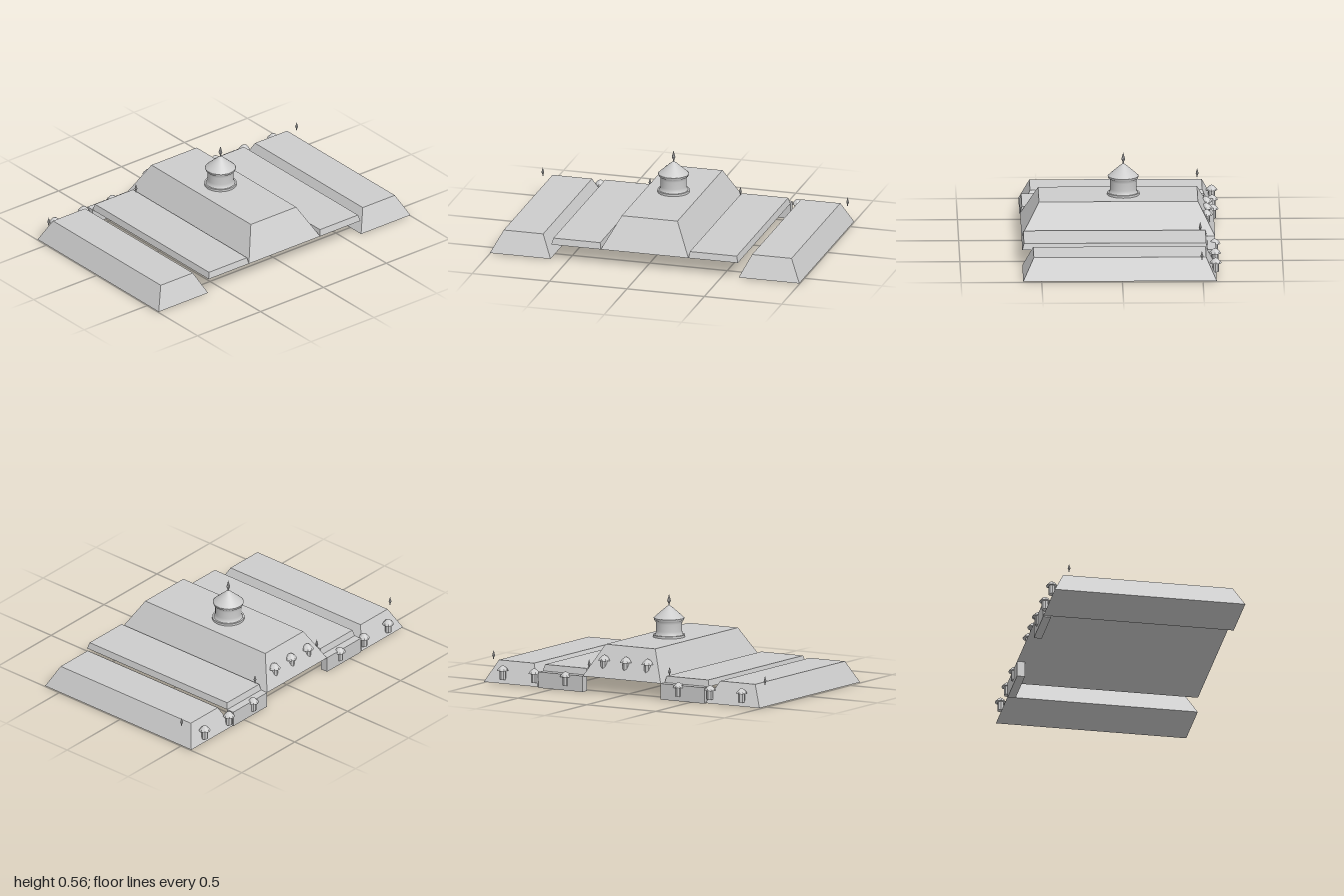
import * as THREE from 'three';

const stone = new THREE.MeshStandardMaterial({ color: 0xcccccc });
stone.name = 'pale grey';
const stoneFlat = stone;

function part(parent, name, geometry, x = 0, y = 0, z = 0) {
  const mesh = new THREE.Mesh(geometry, stoneFlat);
  mesh.name = name;
  mesh.position.set(x, y, z);
  parent.add(mesh);
  return mesh;
}

// Hipped block: [x0, x1, z0, z1] at the base and at the top
function hip(y0, y1, base, top) {
  const g = new THREE.BoxGeometry(1, 1, 1);
  const p = g.attributes.position;
  for (let i = 0; i < p.count; i++) {
    const r = p.getY(i) > 0 ? top : base;
    p.setXYZ(i, p.getX(i) < 0 ? r[0] : r[1], p.getY(i) > 0 ? y1 : y0, p.getZ(i) < 0 ? r[2] : r[3]);
  }
  g.computeVertexNormals();
  return g;
}

function lathe(points, sides, faceted = false) {
  let g = new THREE.LatheGeometry(points.map(([r, y]) => new THREE.Vector2(r, y)), sides);
  if (faceted) {
    g = g.toNonIndexed();
    g.computeVertexNormals();
  }
  return g;
}

// Slim pointed finial, one unit tall
const finialShape = lathe([[0, 0], [0.05, 0], [0.06, 0.2], [0.16, 0.42], [0.11, 0.6], [0, 1]], 8, true);
function finial(parent, name, x, y, z, height) {
  part(parent, name, finialShape, x, y, z).scale.setScalar(height);
}

// Small turret with an eight-sided domed cap
const turretBody = lathe([[0, 0], [0.021, 0], [0.021, 0.057], [0, 0.057]], 8, true);
const turretCap = lathe([[0, 0.056], [0.037, 0.056], [0.03, 0.067], [0.016, 0.081], [0, 0.09]], 8, true);
function turret(parent, name, x, y, z, scale) {
  const g = new THREE.Group();
  g.name = name;
  part(g, 'turretBody', turretBody);
  part(g, 'turretCap', turretCap);
  g.position.set(x, y, z);
  g.scale.setScalar(scale);
  parent.add(g);
}

export function createModel() {
  const model = new THREE.Group();
  model.name = 'palaceRoof';

  // Tall central roof
  part(model, 'centralRoof', hip(0.1, 0.295, [-0.283, 0.283, -0.585, 0.615], [-0.18, 0.18, -0.48, 0.505]));

  for (const s of [1, -1]) {
    const side = s > 0 ? 'left' : 'right';
    const span = (a, b, z0, z1) => (s > 0 ? [a, b, z0, z1] : [-b, -a, z0, z1]);
    // Outer wing, low connecting roof and its rear wall
    part(model, side + 'WingRoof', hip(0.005, 0.14, span(0.608, 1, -0.585, 0.615), span(0.675, 0.93, -0.52, 0.548)));
    part(model, side + 'LinkRoof', hip(0.1, 0.14, span(0.283, 0.603, -0.535, 0.615), span(0.29, 0.592, -0.525, 0.604)));
    part(model, side + 'RearWall', hip(0, 0.1, span(0.283, 0.603, -0.585, -0.535), span(0.283, 0.603, -0.585, -0.535)));
    // Rear turrets and corner finials
    for (const x of [0.41, 0.638, 0.867]) turret(model, side + 'RearTurret', s * x, 0.03, -0.58, 1);
    for (const x of [0.292, 0.985]) finial(model, side + 'Finial', s * x, 0.137, -0.493, 0.057);
  }

  // Turrets on the rear slope of the central roof
  for (const x of [-0.157, 0, 0.157]) turret(model, 'upperTurret', x, 0.142, -0.534, 1.08);

  // Round cupola, each smooth section kept separate for crisp edges
  const cupola = new THREE.Group();
  cupola.name = 'cupola';
  cupola.position.set(0, 0.295, -0.02);
  model.add(cupola);
  part(cupola, 'cupolaPlinth', new THREE.CylinderGeometry(0.1, 0.1, 0.014, 32), 0, 0.007, 0);
  part(cupola, 'cupolaDrum', lathe([[0.09, 0.014], [0.083, 0.024], [0.081, 0.04], [0.081, 0.085], [0.084, 0.1], [0.09, 0.108]], 32));
  part(cupola, 'cupolaCornice', new THREE.CylinderGeometry(0.096, 0.092, 0.014, 32), 0, 0.112, 0);
  part(cupola, 'cupolaRoof', lathe([[0.096, 0.118], [0.084, 0.13], [0.052, 0.158], [0.02, 0.186], [0.005, 0.197], [0, 0.198]], 32));
  finial(cupola, 'cupolaFinial', 0, 0.194, 0, 0.074);

  return model;
}
